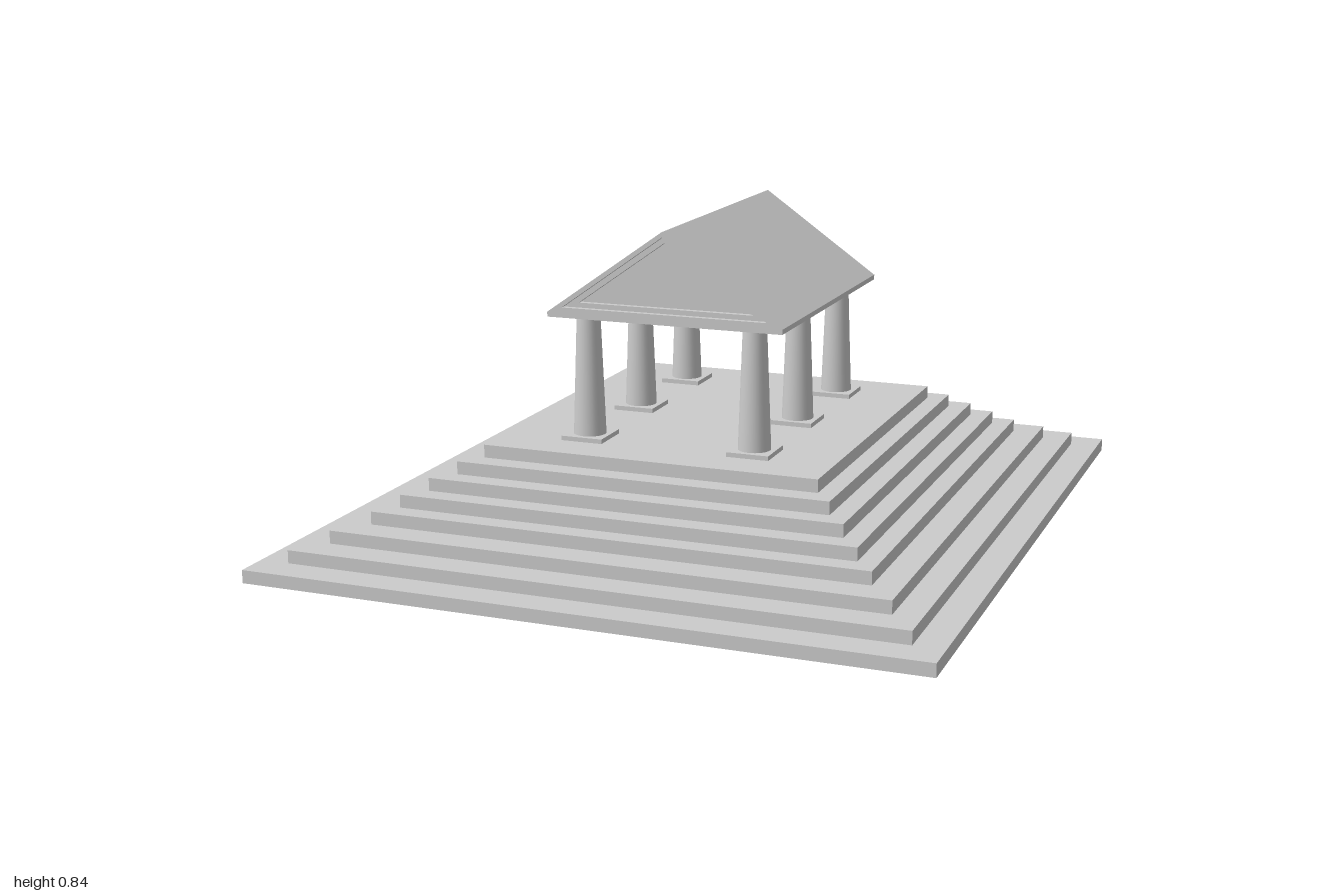
import * as THREE from 'three';

const mat = new THREE.MeshStandardMaterial({ color: 0xcccccc });

function add(parent, name, geometry, x = 0, y = 0, z = 0) {
  const mesh = new THREE.Mesh(geometry, mat);
  mesh.name = name;
  mesh.position.set(x, y, z);
  parent.add(mesh);
  return mesh;
}

// Isosceles triangle given by half width, base height and apex height
function triangle([w, base, apex], Type = THREE.Shape) {
  return new Type([[-w, base], [w, base], [0, apex]].map(p => new THREE.Vector2(...p)));
}

// Triangular prism along z, centred, with an optional triangular opening
function prism(outer, halfLength, hole) {
  const shape = triangle(outer);
  if (hole) shape.holes.push(triangle(hole, THREE.Path));
  const g = new THREE.ExtrudeGeometry(shape, { depth: 2 * halfLength, bevelEnabled: false });
  return g.translate(0, 0, -halfLength);
}

export function createModel() {
  const model = new THREE.Group();
  model.name = 'temple';

  // Stepped platform: half width and half depth of each step, bottom up
  const platform = new THREE.Group();
  platform.name = 'platform';
  model.add(platform);
  const steps = [[0.887, 1], [0.808, 0.914], [0.737, 0.83], [0.664, 0.748],
    [0.611, 0.691], [0.558, 0.633], [0.505, 0.576], [0.456, 0.517]];
  const rise = 0.275 / steps.length;
  steps.forEach(([hx, hz], i) =>
    add(platform, `step${i + 1}`, new THREE.BoxGeometry(2 * hx, rise, 2 * hz), 0, (i + 0.5) * rise, 0));

  // Two rows of three tapered columns on square plinths
  const shaft = new THREE.CylinderGeometry(0.031, 0.043, 0.32, 32);
  const plinth = new THREE.BoxGeometry(0.114, 0.012, 0.114);
  for (const x of [-0.23, 0.23]) {
    for (const z of [-0.347, 0, 0.347]) {
      const column = new THREE.Group();
      column.name = 'column';
      column.position.set(x, 0.275, z);
      add(column, 'plinth', plinth, 0, 0.006, 0);
      add(column, 'shaft', shaft, 0, 0.169, 0);
      model.add(column);
    }
  }

  // Roof: eaves slab, then gable frames stepping back to a recessed pediment
  const roof = new THREE.Group();
  roof.name = 'roof';
  model.add(roof);
  const outer = [0.322, 0.616, 0.843];
  const middle = [0.281, 0.63, 0.829];
  const inner = [0.239, 0.643, 0.812];
  add(roof, 'eavesSlab', new THREE.BoxGeometry(0.644, 0.013, 0.806), 0, 0.6095, 0);
  add(roof, 'roofShell', prism(outer, 0.403, middle));
  add(roof, 'gableMoulding', prism(middle, 0.388, inner));
  add(roof, 'pediment', prism(inner, 0.373));

  return model;
}
